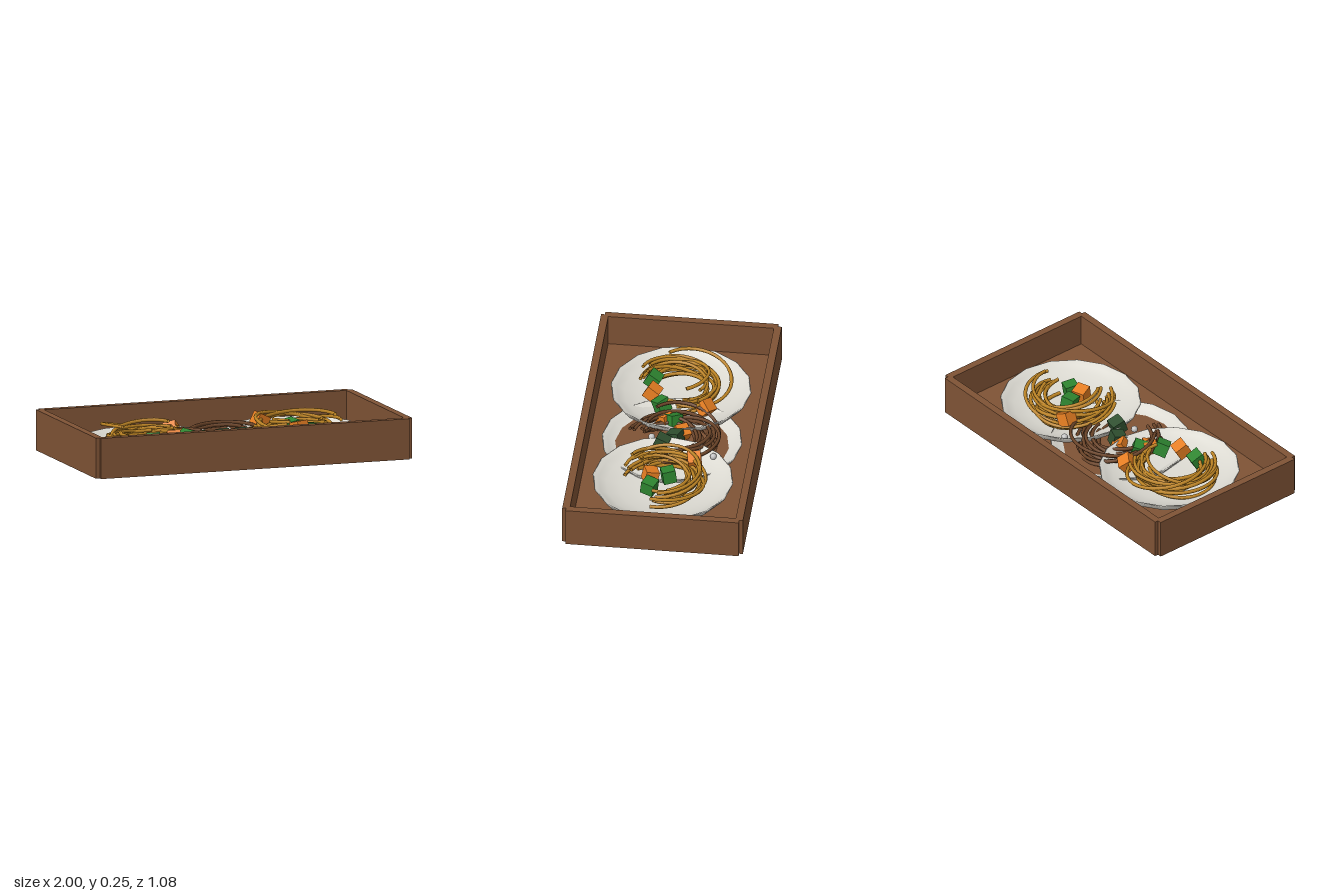
import * as THREE from 'three';

const mat = (name, color, side = THREE.FrontSide) => {
  const m = new THREE.MeshStandardMaterial({ color, side });
  m.name = name;
  return m;
};

export function createModel() {
  const model = new THREE.Group();
  model.name = 'noodleTray';

  const wood = mat('wood', 0x7f5335);
  const china = mat('china', 0xdcdad2, THREE.DoubleSide);
  const noodle = mat('goldenNoodle', 0xbd8424, THREE.DoubleSide);
  const darkNoodle = mat('brownNoodle', 0x6b4428, THREE.DoubleSide);
  const orange = mat('carrot', 0xe67e22);
  const green = mat('greens', 0x2e8530);
  const darkGreen = mat('darkGreens', 0x2f4f2f);
  const pearl = mat('pearl', 0xc4c4c4);

  let seed = 7;
  const rnd = (a, b) => {
    seed = (seed * 16807) % 2147483647;
    return a + (b - a) * (seed / 2147483647);
  };
  const add = (parent, name, geo, material, x, y, z) => {
    const m = new THREE.Mesh(geo, material);
    m.name = name;
    m.position.set(x, y, z);
    parent.add(m);
    return m;
  };

  // Tray: floor and four walls with notched corners
  const H = 0.245;
  add(model, 'trayFloor', new THREE.BoxGeometry(1.94, 0.044, 1.02), wood, 0, 0.023, 0);
  for (const s of [1, -1]) {
    add(model, s > 0 ? 'frontWall' : 'backWall',
      new THREE.BoxGeometry(1.95, H, 0.045), wood, 0, H / 2, s * 0.5175);
    add(model, s > 0 ? 'leftWall' : 'rightWall',
      new THREE.BoxGeometry(0.045, H, 1.035), wood, s * 0.9775, H / 2, 0);
  }

  // Shallow sixteen-sided plates
  const profile = [[0, 0], [0.31, 0], [0.39, 0.04], [0.42, 0.08], [0.412, 0.085],
    [0.385, 0.065], [0.34, 0.045], [0.26, 0.022], [0.15, 0.01], [0, 0.008]]
    .map(([r, y]) => new THREE.Vector2(r, y));
  const plateGeo = new THREE.LatheGeometry(profile, 16);

  // Each serving: plate, nest of open noodle loops, then diced vegetables
  const servings = [
    { name: 'rightServing', x: -0.457, y: 0.046, cx: -0.485, r: 0.2, strand: noodle, dice: [
      [-0.27, 0.135, -0.17, orange], [-0.275, 0.13, 0.095, green],
      [-0.375, 0.145, 0.16, orange], [-0.51, 0.14, 0.17, green]] },
    { name: 'middleServing', x: 0, y: 0, cx: -0.01, r: 0.19, strand: darkNoodle, dice: [
      [-0.165, 0.1, 0.01, green], [-0.18, 0.09, 0.07, orange], [-0.065, 0.09, -0.05, orange],
      [0, 0.1, -0.02, darkGreen], [0.085, 0.12, 0.05, darkGreen]] },
    { name: 'leftServing', x: 0.457, y: 0.046, cx: 0.45, r: 0.2, strand: noodle, dice: [
      [0.29, 0.16, -0.17, orange], [0.43, 0.14, -0.03, green],
      [0.45, 0.145, 0.075, orange], [0.54, 0.13, 0.07, green]] },
  ];
  const cube = new THREE.BoxGeometry(0.08, 0.08, 0.08);
  for (const s of servings) {
    const g = new THREE.Group();
    g.name = s.name;
    model.add(g);
    add(g, 'plate', plateGeo, china, s.x, s.y, 0);

    const count = 15;
    for (let i = 0; i < count; i++) {
      const start = rnd(1.75, 2.5);
      const geo = new THREE.TorusGeometry(s.r + rnd(-0.035, 0.045), 0.011, 6, 24, rnd(3.3, 4.4));
      geo.rotateZ(start).rotateX(Math.PI / 2);
      const loop = add(g, 'noodle', geo, s.strand, s.cx + rnd(-0.04, 0.05),
        s.y + 0.06 + 0.075 * i / count, rnd(-0.06, 0.05));
      loop.rotation.set(rnd(-0.2, 0.2), 0, rnd(-0.2, 0.2));
    }

    for (const [x, y, z, m] of s.dice) {
      add(g, 'dicedVegetable', cube, m, x, y, z).rotation.set(rnd(-0.5, 0.5), rnd(0, 1.5), rnd(-0.5, 0.5));
    }
  }

  // Small round garnish
  const bead = new THREE.SphereGeometry(0.02, 12, 8);
  for (const [x, y, z] of [[0.19, 0.12, -0.27], [0.01, 0.1, 0.12]]) {
    add(model, 'garnish', bead, pearl, x, y, z);
  }
  return model;
}
